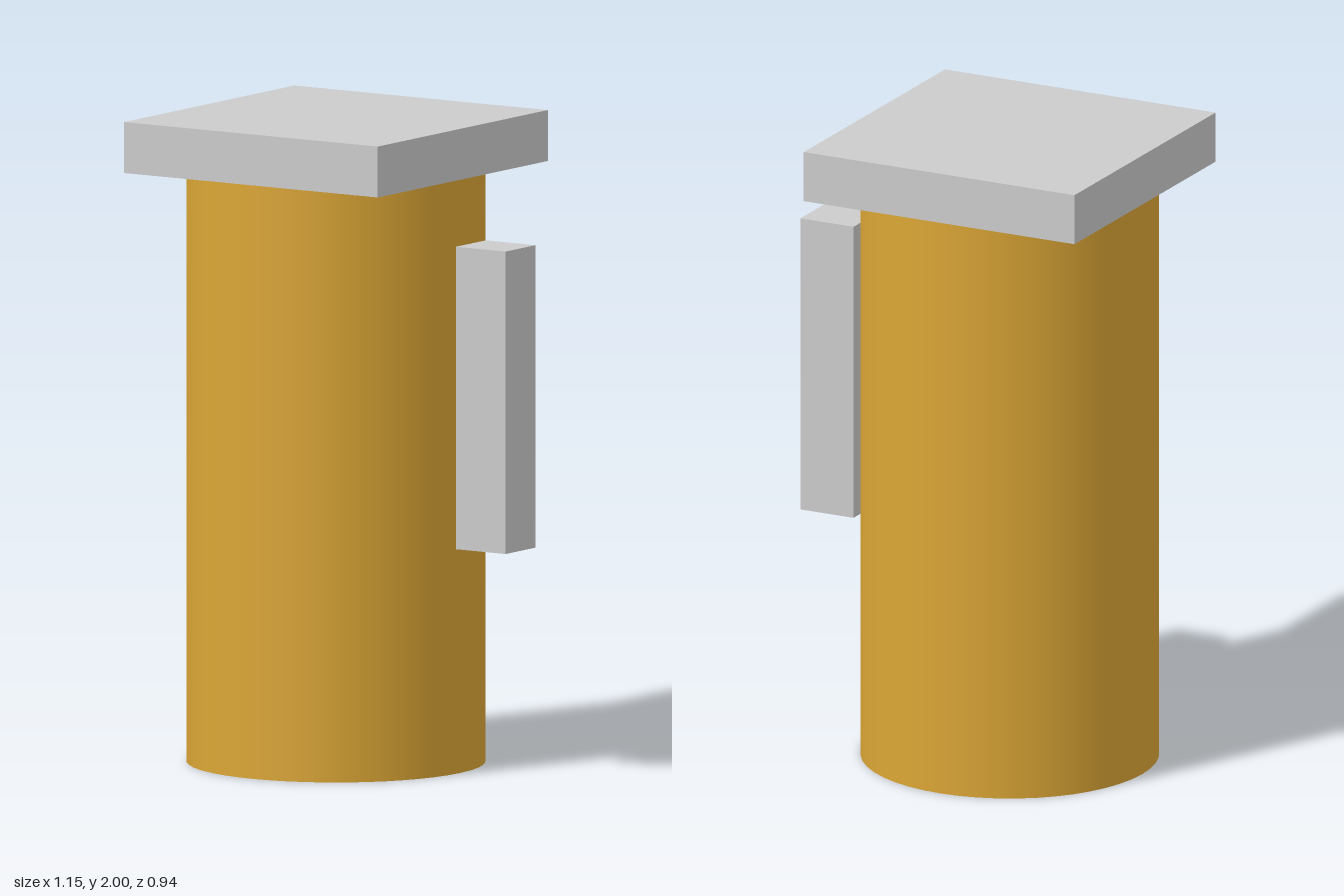
import * as THREE from 'three';

export function createModel() {
  const group = new THREE.Group();
  const grey = new THREE.MeshStandardMaterial({ color: 0xcccccc });
  const amber = new THREE.MeshStandardMaterial({ color: 0xdaa535 });
  const bodyX = -0.108;

  const add = (name, geometry, material, x, y, z = 0) => {
    const mesh = new THREE.Mesh(geometry, material);
    mesh.name = name;
    mesh.position.set(x, y, z);
    group.add(mesh);
  };

  // Round mug body, closed at both ends
  add('body', new THREE.CylinderGeometry(0.459, 0.459, 1.842, 48), amber, bodyX, 0.921);

  // Square slab on top
  add('lid', new THREE.BoxGeometry(0.937, 0.158, 0.937), grey, bodyX, 1.921);

  // Upright handle, standing free of the body's left side
  add('handle', new THREE.BoxGeometry(0.184, 0.938, 0.164), grey, 0.482, 1.176);

  return group;
}
